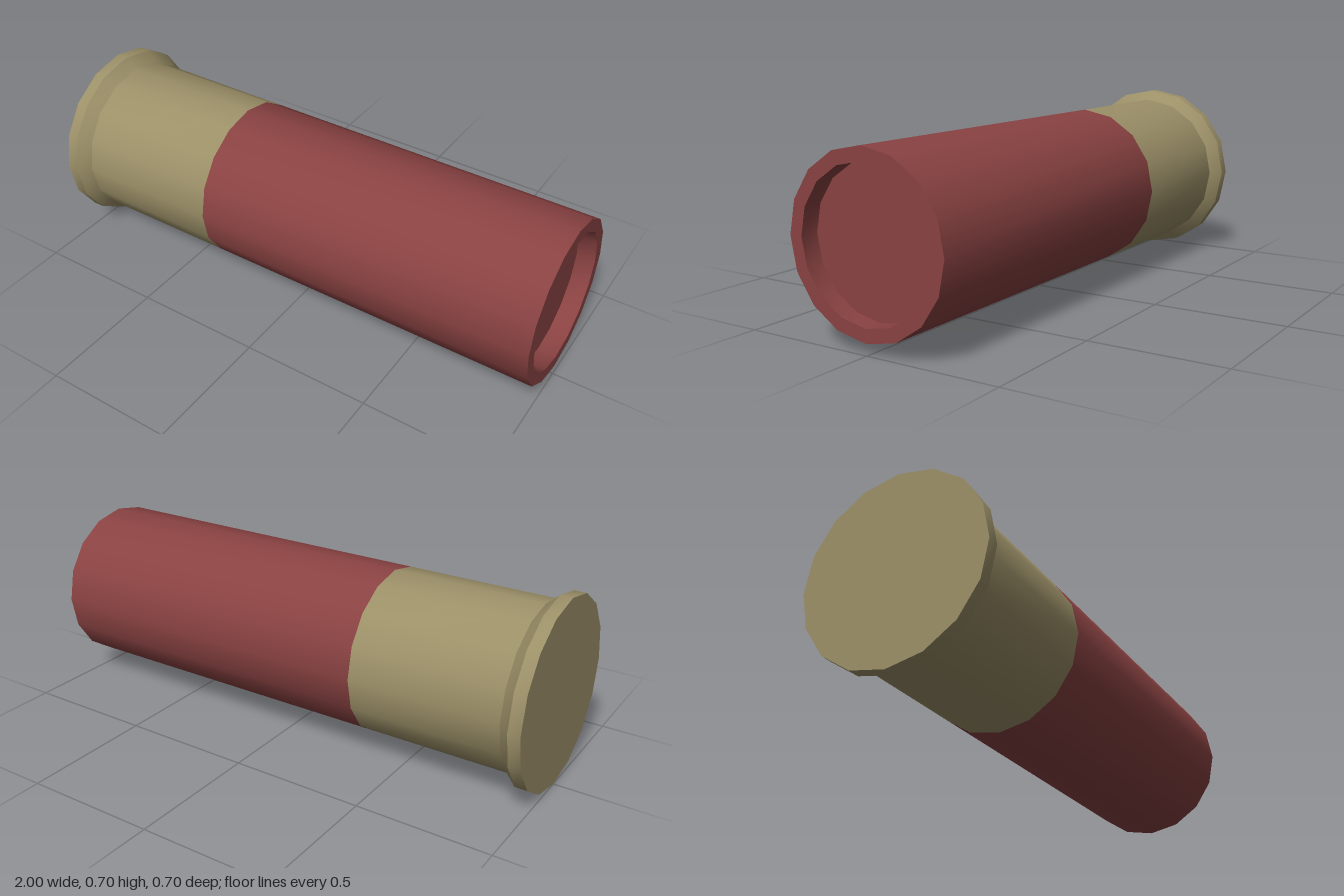
import * as THREE from 'three';
import { toCreasedNormals } from 'three/addons/utils/BufferGeometryUtils.js';

const SIDES = 16;
const RIM = 0.35, BODY = 0.311, BORE = 0.262;

// Revolves a profile of [radius, x] points around the long axis, keeping ring edges sharp
function turned(name, profile, material) {
  const points = profile.map(([r, x]) => new THREE.Vector2(r, x));
  const lathe = new THREE.LatheGeometry(points, SIDES).rotateZ(-Math.PI / 2);
  const mesh = new THREE.Mesh(toCreasedNormals(lathe, Math.PI / 6), material);
  mesh.name = name;
  mesh.position.y = RIM;
  return mesh;
}

export function createModel() {
  const brass = new THREE.MeshStandardMaterial({ color: 0x9c9068 });
  brass.name = 'brass';
  const red = new THREE.MeshStandardMaterial({ color: 0x8a4242 });
  red.name = 'red plastic';

  const model = new THREE.Group();
  model.name = 'cartridge';

  // Closed base with a flanged, bevelled rim
  model.add(turned('brassBase', [
    [0, -1], [RIM, -1], [RIM, -0.955], [BODY, -0.912], [BODY, -0.342],
  ], brass));

  // Tube with a shallow recess in its open end
  model.add(turned('redCase', [
    [BODY, -0.342], [BODY, 1], [BORE, 1], [BORE, 0.93], [0, 0.93],
  ], red));

  return model;
}
